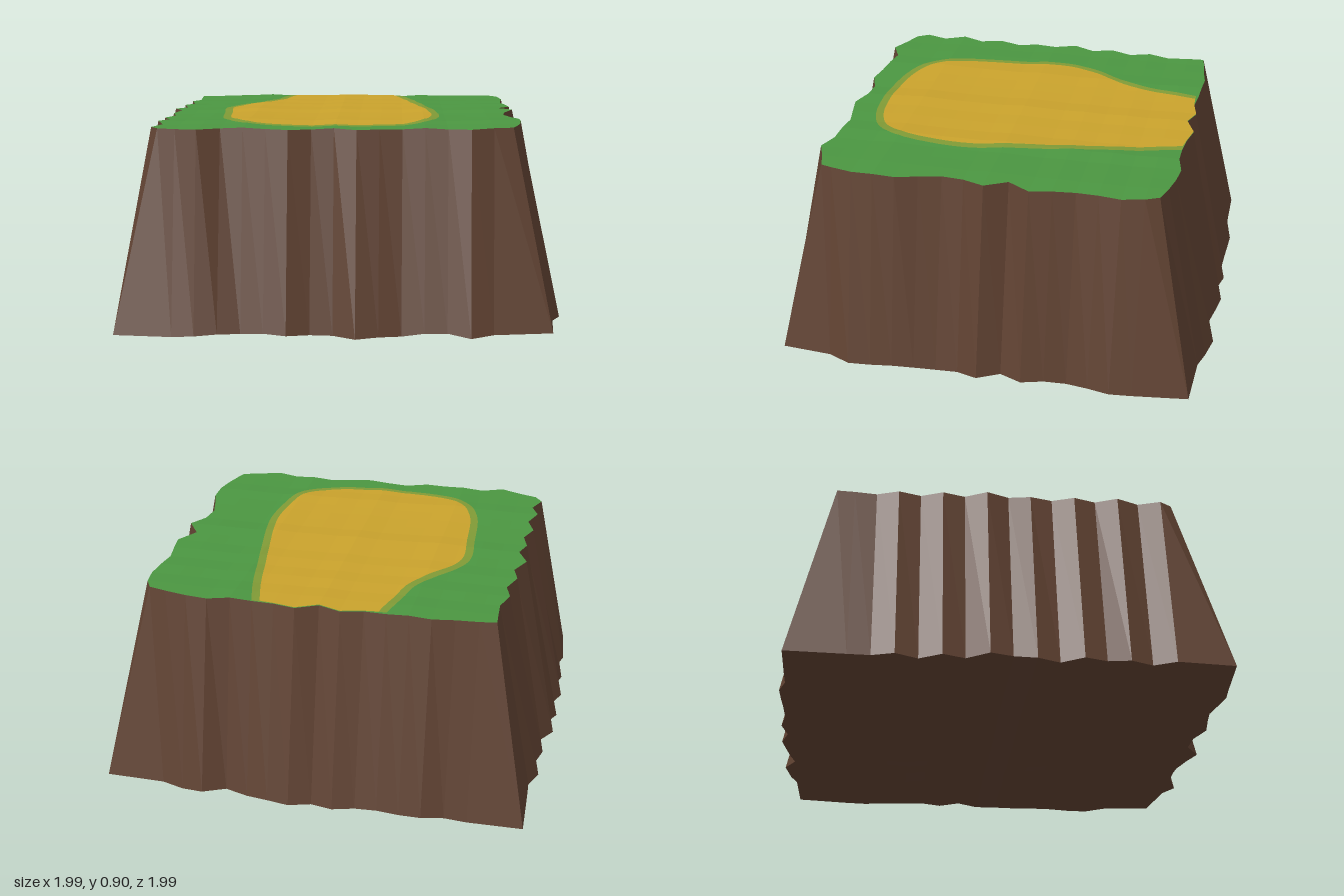
import * as THREE from 'three';

const STEP = 0.098, SHIFT = -0.01, N = 7;
const line = k => k * STEP + SHIFT;

// Distance from the centre of each side at grid lines -7..7: foot and rim
const sides = {
  back: {
    foot: [.96, .96, .99, .985, .98, .975, .995, .97, 1, .985, .965, .95, 1, .975, .95],
    rim: [.785, .795, .81, .805, .80, .79, .81, .78, .82, .80, .79, .79, .81, .80, .78] },
  right: {
    foot: [.97, .98, .955, .93, .95, .975, .935, .99, .94, .945, .96, .97, .98, .99, .95],
    rim: [.785, .80, .79, .78, .795, .81, .75, .81, .765, .755, .78, .81, .81, .80, .775] },
  front: {
    foot: [.955, .97, .96, .94, .955, .97, .93, .925, .99, .96, .93, .935, .94, .98, .94],
    rim: [.76, .80, .755, .765, .775, .79, .755, .755, .79, .77, .75, .755, .76, .79, .75] },
  left: {
    foot: [.93, .925, .96, .93, .96, .93, .99, .96, .99, .95, .995, .96, .98, .935, .97],
    rim: [.765, .76, .79, .765, .80, .775, .82, .775, .80, .775, .81, .775, .81, .775, .81] },
};
const corners = {
  foot: [[.94, -.94], [.93, .90], [-.95, .93], [-.94, -.96]],
  rim: [[.755, -.755], [.76, .725], [-.775, .73], [-.77, -.775]],
};

// Closed outline in (x, z), running back, right, front, left
function outline(level) {
  const v = (x, z) => new THREE.Vector2(x, z);
  const c = corners[level].map(p => v(...p));
  const run = (name, place) => sides[name][level].map((d, i) => place(d, line(i - N)));
  return [
    ...run('back', (d, t) => v(t, -d)), c[0],
    ...run('right', (d, t) => v(d, t)), c[1],
    ...run('front', (d, t) => v(t, d)).reverse(), c[2],
    ...run('left', (d, t) => v(-d, t)).reverse(), c[3],
  ];
}

// Uneven ground: a sum of two stepped ramps keeps every grid cell flat
function unevenHeight(base, amount, seed) {
  const random = () => (seed = (seed * 16807) % 2147483647) / 2147483647;
  const bumps = () => Array.from({ length: 2 * N + 1 }, () => (random() - 0.5) * amount);
  const a = bumps(), b = bumps();
  const sample = (list, t) => {
    const u = THREE.MathUtils.clamp((t - SHIFT) / STEP + N, 0, 2 * N);
    const i = Math.min(Math.floor(u), 2 * N - 1);
    return THREE.MathUtils.lerp(list[i], list[i + 1], u - i);
  };
  return (x, z) => base + sample(a, x) + sample(b, z);
}

// Keep the part of a polygon on one side of a grid line
function clip(poly, axis, limit, sign) {
  const out = [];
  poly.forEach((p, i) => {
    const q = poly[(i + 1) % poly.length];
    const dp = (p[axis] - limit) * sign, dq = (q[axis] - limit) * sign;
    if (dp >= 0) out.push(p);
    if ((dp > 0 && dq < 0) || (dp < 0 && dq > 0)) out.push(p.clone().lerp(q, dp / (dp - dq)));
  });
  return out;
}

function toGeometry(positions) {
  const g = new THREE.BufferGeometry();
  g.setAttribute('position', new THREE.Float32BufferAttribute(positions, 3));
  g.computeVertexNormals();
  return g;
}

// Faceted sheet: the polygon cut into grid cells and laid over the height rule
function sheet(poly, height, up = true) {
  const cuts = [-1.2];
  for (let k = -N; k <= N; k++) cuts.push(line(k));
  cuts.push(1.2);
  const positions = [];
  for (let i = 0; i < cuts.length - 1; i++) {
    const column = clip(clip(poly, 'x', cuts[i], 1), 'x', cuts[i + 1], -1);
    for (let j = 0; j < cuts.length - 1; j++) {
      const cell = clip(clip(column, 'y', cuts[j], 1), 'y', cuts[j + 1], -1);
      if (cell.length < 3) continue;
      for (const face of THREE.ShapeUtils.triangulateShape(cell, [])) {
        const [a, b, c] = face.map(n => cell[n]);
        const turn = (b.y - a.y) * (c.x - a.x) - (b.x - a.x) * (c.y - a.y);
        if (Math.abs(turn) < 1e-9) continue;
        const order = (turn > 0) === up ? [a, b, c] : [a, c, b];
        for (const p of order) positions.push(p.x, height(p.x, p.y), p.y);
      }
    }
  }
  return toGeometry(positions);
}

// Sloping earth walls between the two outlines
function walls(foot, rim, low, high) {
  const positions = [];
  foot.forEach((a, i) => {
    const n = (i + 1) % foot.length, b = foot[n], s = rim[i], t = rim[n];
    const A = [a.x, low(a.x, a.y), a.y], B = [b.x, low(b.x, b.y), b.y];
    const S = [s.x, high(s.x, s.y), s.y], T = [t.x, high(t.x, t.y), t.y];
    positions.push(...A, ...S, ...T, ...A, ...T, ...B);
  });
  return toGeometry(positions);
}

// Sand patch outline, open to the back rim and drawn in by a margin
function patch(rim, margin) {
  const points = [
    [-.305, -.788], [-.34, -.64], [-.37, -.51], [-.435, -.39], [-.515, -.28], [-.56, -.18],
    [-.57, -.10], [-.555, .08], [-.54, .29], [-.52, .40], [-.47, .52], [-.39, .60], [-.26, .65],
    [0, .672], [.19, .655], [.325, .60], [.41, .495], [.447, .32], [.457, .16], [.437, 0],
    [.405, -.19], [.367, -.40], [.33, -.61], [.285, -.788],
  ].map(([x, z]) => new THREE.Vector3(x, 0, z));
  const curve = new THREE.CatmullRomCurve3(points);
  const edge = [];
  for (let i = 0; i <= 72; i++) {
    const p = curve.getPoint(i / 72), t = curve.getTangent(i / 72);
    const atRim = i === 0 || i === 72;
    edge.push(new THREE.Vector2(p.x + t.z * margin, atRim ? p.z : p.z - t.x * margin));
  }
  const backRim = rim.slice(N - 2, N + 3).reverse();
  return [...edge, ...backRim];
}

export function createModel() {
  const material = (name, color) =>
    Object.assign(new THREE.MeshStandardMaterial({ color, flatShading: true }), { name });
  const earth = material('earth brown', 0x5f4131);
  const grass = material('grass green', 0x4b9641);
  const sandEdge = material('sand edge olive', 0x809a36);
  const sand = material('sand yellow', 0xc9a22c);

  const model = new THREE.Group();
  model.name = 'groundBlock';
  const add = (name, geometry, mat) => {
    const mesh = new THREE.Mesh(geometry, mat);
    mesh.name = name;
    model.add(mesh);
  };

  const foot = outline('foot'), rim = outline('rim');
  const low = unevenHeight(0.022, 0.022, 71), high = unevenHeight(0.892, 0.009, 1234);
  const raised = lift => (x, z) => high(x, z) + lift;

  add('earthWalls', walls(foot, rim, low, high), earth);
  add('underside', sheet(foot, low, false), earth);
  add('grassTop', sheet(rim, high), grass);
  add('sandBorder', sheet(patch(rim, 0), raised(0.002)), sandEdge);
  add('sandPatch', sheet(patch(rim, 0.036), raised(0.004)), sand);
  return model;
}
